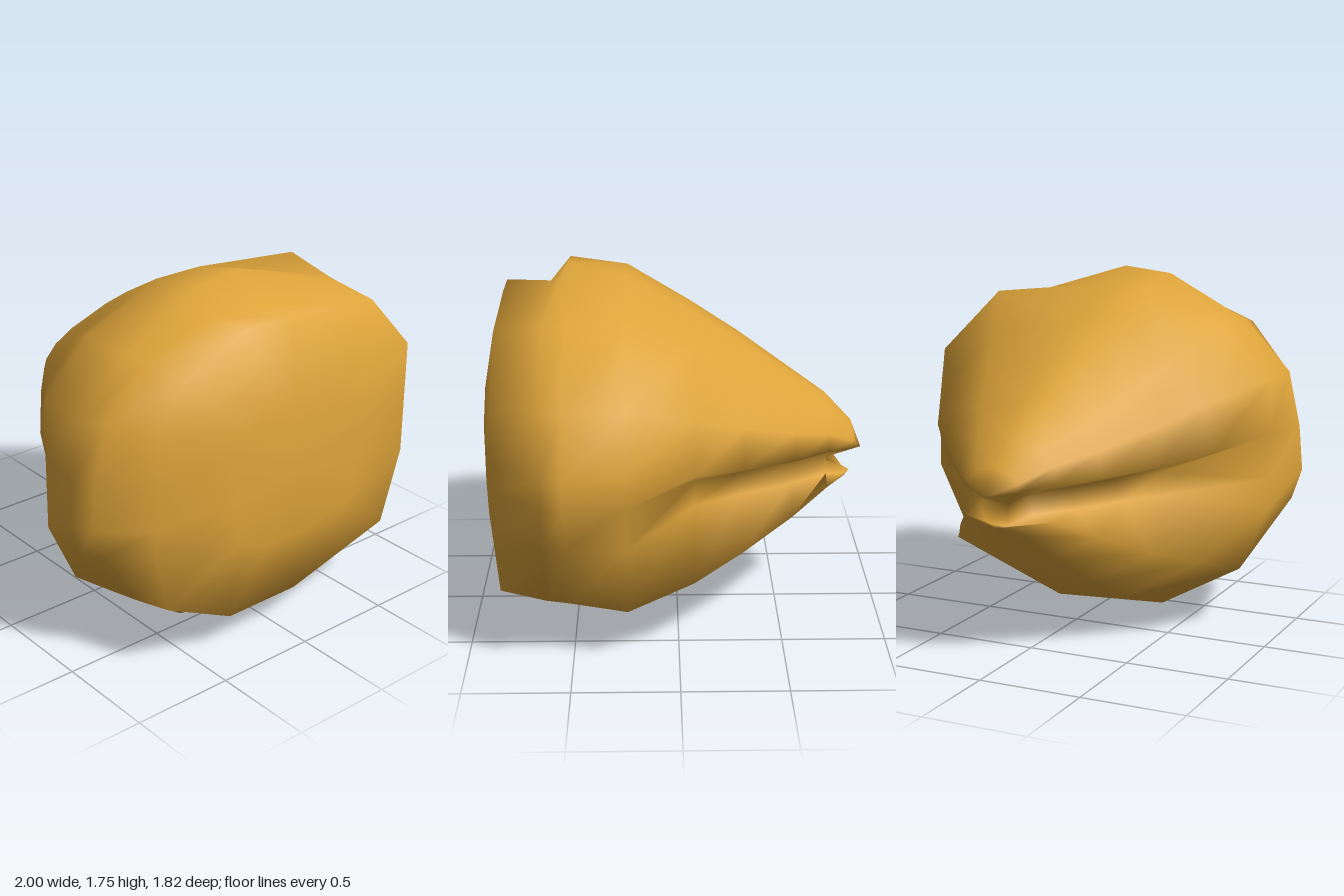
import * as THREE from 'three';

// Body outline seen from the front, clockwise from the top, relative to its middle
const OUTLINE = [
  [-0.03, 0.88], [0.56, 0.75], [0.89, 0.43], [1, 0.15], [0.98, 0], [0.94, -0.2],
  [0.73, -0.6], [0.08, -0.87], [-0.37, -0.8], [-0.78, -0.57], [-0.95, -0.25],
  [-1, -0.1], [-0.98, 0.12], [-0.92, 0.39], [-0.68, 0.635], [-0.28, 0.85],
];
const GROOVE = [4, 11]; // deepest points of the side grooves
const RIDGE = [5, 10]; // ridges just below them
const JOWL = [6, 9]; // full lower corners under the ridges
const CORNER = [1, 6, 9]; // corners eased inward near the rim

// Cross-sections from front to back
const SECTIONS = [
  { z: 0.91, cy: 0.88, sx: 0.45, sy: 0.45, side: 0.38, low: 0.55, high: 1.22 },
  { z: 0.835, cy: 0.89, sx: 0.9, sy: 0.9, side: 0.77, low: 0.195, high: 1.61 },
  { z: 0.62, cy: 0.87, sx: 0.95, sy: 0.99, side: 0.95, low: 0.155, high: 1.6, ease: 0.96 },
  { z: 0.52, cy: 0.87, sx: 1, sy: 1, side: 1, low: 0, high: 1.75, ease: 0.95 },
  { z: 0.24, cy: 0.87, sx: 1, sy: 1, side: 0.925, low: 0.065, high: 1.68 },
  { z: -0.07, cy: 0.83, sx: 0.755, sy: 0.83, side: 0.755, low: 0.145, high: 1.51, groove: 0.63 },
  { z: -0.3, cy: 0.82, sx: 0.59, sy: 0.65, side: 0.59, low: 0.265, high: 1.37, groove: 0.58 },
  { z: -0.55, cy: 0.825, sx: 0.41, sy: 0.44, side: 0.41, low: 0.44, high: 1.2, groove: 0.55 },
  { z: -0.73, cy: 0.84, sx: 0.26, sy: 0.28, side: 0.26, low: 0.6, high: 1.08, groove: 0.42 },
];

function sectionPoint({ z, cy, sx, sy, side, low, high, ease = 1, groove }, i) {
  const f = CORNER.includes(i) ? ease : 1;
  let x = THREE.MathUtils.clamp(OUTLINE[i][0] * sx * f, -side, side);
  let y = THREE.MathUtils.clamp(cy + OUTLINE[i][1] * sy * f, low, high);
  if (groove) {
    if (GROOVE.includes(i)) {
      x *= groove;
      y = 0.82;
    } else if (RIDGE.includes(i)) {
      x *= groove + 0.12;
      y = 0.72;
    } else if (JOWL.includes(i)) {
      x *= 1.17;
      y += 0.05 * sy;
    }
  }
  return [x, y, z];
}

// The last section splits into an upper and a lower tip with a notch between
function tipPoint(i) {
  const [ox, oy] = OUTLINE[i];
  if (GROOVE.includes(i)) return [0, 0.75, -0.72];
  if (i > 4 && i < 11) return [ox * 0.06, 0.7 + oy * 0.04, -0.83];
  return [ox * 0.14, 0.835 + oy * 0.13, -0.86];
}

function bodyGeometry() {
  const n = OUTLINE.length;
  const positions = [];
  const index = [];
  for (const section of SECTIONS) {
    for (let i = 0; i < n; i++) positions.push(...sectionPoint(section, i));
  }
  for (let i = 0; i < n; i++) positions.push(...tipPoint(i));

  // Skin between neighbouring sections
  for (let k = 0; k < SECTIONS.length; k++) {
    for (let i = 0; i < n; i++) {
      const j = (i + 1) % n;
      const a = k * n + i, b = k * n + j, c = a + n, d = b + n;
      index.push(a, b, c, b, d, c);
    }
  }

  // Front cap and the two closed tips
  const front = positions.length / 3;
  const upper = front + 1, lower = front + 2;
  positions.push(0, 0.88, 0.912, 0.02, 0.82, -0.91, 0, 0.69, -0.86);
  const last = SECTIONS.length * n;
  for (let i = 0; i < n; i++) {
    const j = (i + 1) % n;
    index.push(front, j, i);
    index.push(i >= 4 && i < 11 ? lower : upper, last + i, last + j);
  }

  const geometry = new THREE.BufferGeometry();
  geometry.setAttribute('position', new THREE.Float32BufferAttribute(positions, 3));
  geometry.setIndex(index);
  geometry.computeVertexNormals();
  return geometry;
}

export function createModel() {
  const golden = new THREE.MeshStandardMaterial({ color: 0xdea43a });
  golden.name = 'golden';
  const body = new THREE.Mesh(bodyGeometry(), golden);
  body.name = 'body';
  const model = new THREE.Group();
  model.name = 'kernel';
  model.add(body);
  return model;
}
